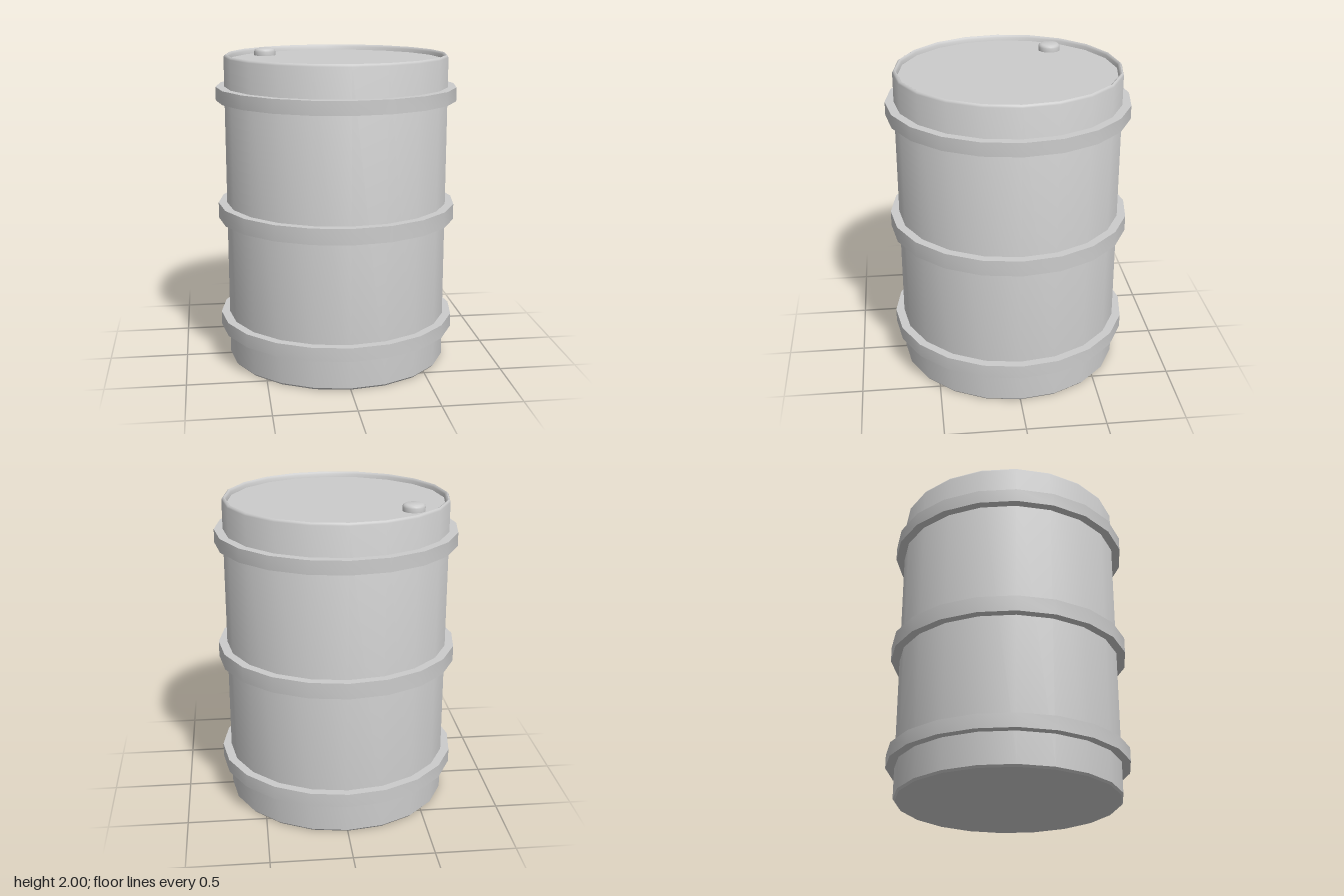
import * as THREE from 'three';
import { toCreasedNormals } from 'three/addons/utils/BufferGeometryUtils.js';

const SIDES = 20;
const material = new THREE.MeshStandardMaterial({ color: 0xcccccc });

// Turned part: smooth around the axis, sharp at the profile's corners
function turned(name, profile, crease = 0.6) {
  const points = profile.map(([r, y]) => new THREE.Vector2(r, y));
  const geometry = toCreasedNormals(new THREE.LatheGeometry(points, SIDES), crease);
  const mesh = new THREE.Mesh(geometry, material);
  mesh.name = name;
  return mesh;
}

export function createModel() {
  const model = new THREE.Group();
  model.name = 'barrel';

  // Shell with bevelled ends, a raised rim and a recessed lid
  model.add(turned('body', [
    [0, 0.005], [0.698, 0.005], [0.71, 0.018],
    [0.71, 1.975], [0.705, 1.985], [0.697, 1.99], [0.689, 1.985], [0.684, 1.975],
    [0.68, 1.955], [0, 1.955],
  ]));

  // Three hoops around the shell
  const hoops = { lowerHoop: [0.214, 0.301], middleHoop: [0.942, 1.042], upperHoop: [1.704, 1.79] };
  for (const [name, [bottom, top]] of Object.entries(hoops)) {
    model.add(turned(name, [[0.69, bottom], [0.765, bottom], [0.765, top], [0.69, top]]));
  }

  // Filler cap with a rounded edge
  const cap = turned('fillerCap', [
    [0.07, 0], [0.07, 0.025], [0.067, 0.034], [0.06, 0.041], [0.05, 0.045], [0, 0.045],
  ]);
  cap.position.set(-0.433, 1.955, -0.317);
  model.add(cap);

  return model;
}
